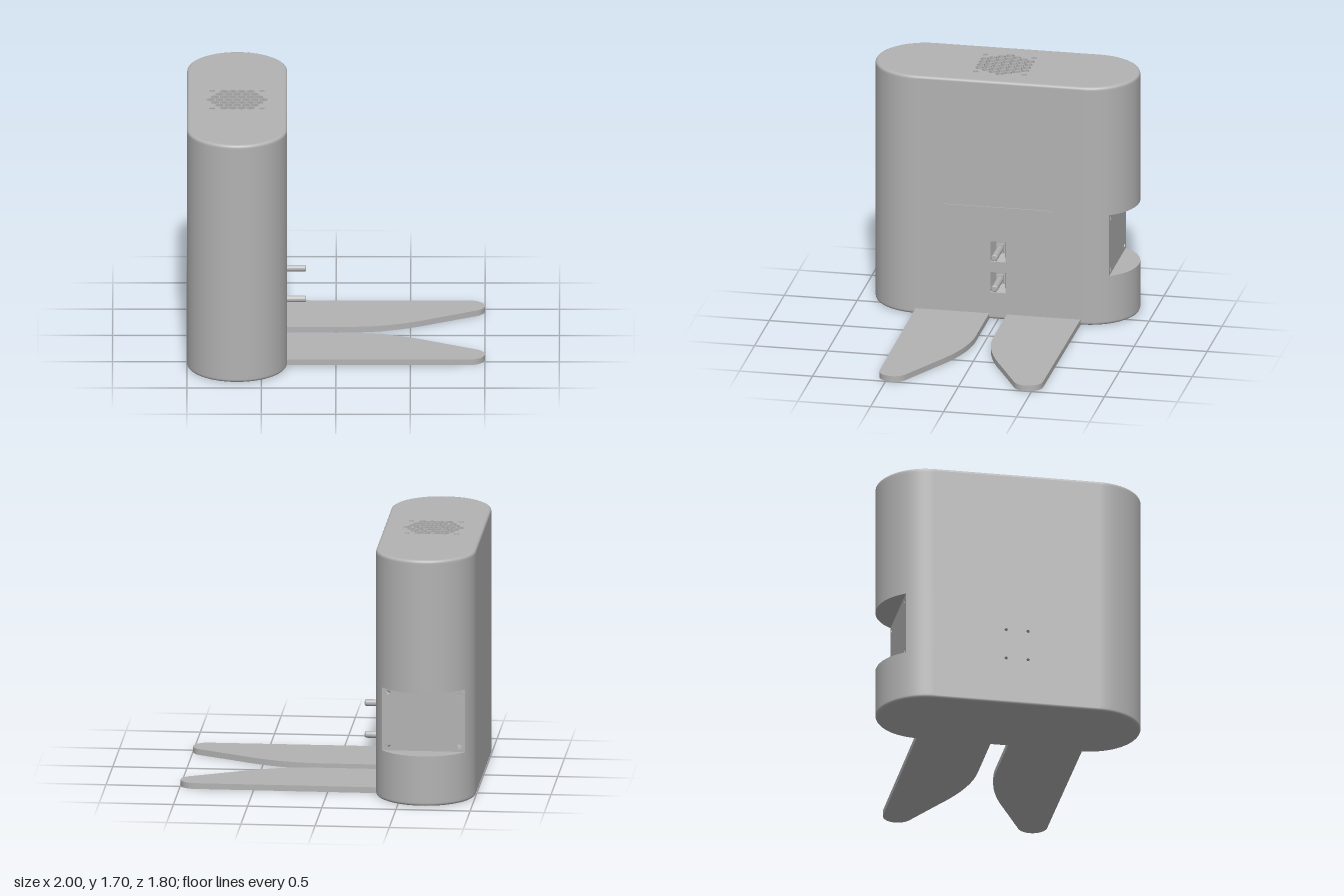
import * as THREE from 'three';
import { toCreasedNormals } from 'three/addons/utils/BufferGeometryUtils.js';

const R = 0.336, HALF = 0.564, H = 1.7, F = 0.02; // end radius, half straight length, height, edge fillet
const SKIN = 0.008;
const CUT0 = 0.345, CUT1 = 0.78, CUTZ = -0.75; // rear notch

export function createModel() {
  const grey = new THREE.MeshStandardMaterial({ color: 0xb2b2b2, side: THREE.DoubleSide });
  grey.name = 'plain grey';
  const model = new THREE.Group();
  const body = new THREE.Group();
  body.name = 'body';
  body.position.x = -1 + R;
  model.add(body);

  const add = (parent, name, geo, x = 0, y = 0, z = 0) => {
    const m = new THREE.Mesh(geo, grey);
    m.name = name;
    m.position.set(x, y, z);
    parent.add(m);
    return m;
  };
  const polyHole = (shape, cx, cy, r, sides, turn = 0) => {
    const pts = [];
    for (let i = 0; i < sides; i++) {
      const a = turn + (i / sides) * Math.PI * 2;
      pts.push(new THREE.Vector2(cx + r * Math.cos(a), cy + r * Math.sin(a)));
    }
    shape.holes.push(new THREE.Path(pts));
  };
  const rectPoints = (x0, y0, x1, y1) =>
    [[x0, y0], [x1, y0], [x1, y1], [x0, y1]].map(p => new THREE.Vector2(...p));
  const slab = (shape, depth) =>
    new THREE.ExtrudeGeometry(shape, { depth, bevelEnabled: false, curveSegments: 24 });
  const stadium = r => {
    const s = new THREE.Shape();
    s.absarc(0, HALF, r, 0, Math.PI, false);
    s.absarc(0, -HALF, r, Math.PI, Math.PI * 2, false);
    s.closePath();
    return s;
  };

  // Rounded ends: filleted profiles swept half a turn, the rear one split by the notch
  const bottomEdge = [], topEdge = [];
  for (let i = 0; i <= 5; i++) {
    const a = (i / 5) * Math.PI / 2;
    bottomEdge.push(new THREE.Vector2(R - F + F * Math.sin(a), F - F * Math.cos(a)));
    topEdge.push(new THREE.Vector2(R - F + F * Math.cos(a), H - F + F * Math.sin(a)));
  }
  const wall = (...ys) => ys.map(y => new THREE.Vector2(R, y));
  const end = (name, pts, start, sweep, z) =>
    add(body, name, new THREE.LatheGeometry(pts, 40, start, sweep), 0, 0, z);
  const PI = Math.PI;
  end('frontEnd', [...bottomEdge, ...wall(F + 0.01, H - F - 0.01), ...topEdge], -PI / 2, PI, HALF);
  end('rearEndLower', [...bottomEdge, ...wall(F + 0.01, CUT0)], PI / 2, PI, -HALF);
  end('rearEndUpper', [...wall(CUT1, H - F - 0.01), ...topEdge], PI / 2, PI, -HALF);
  const cutAngle = Math.acos((CUTZ + HALF) / R);
  end('rearEndSide', wall(CUT0, CUT1), PI / 2, cutAngle - PI / 2, -HALF);
  end('rearEndSide', wall(CUT0, CUT1), 2 * PI - cutAngle, cutAngle - PI / 2, -HALF);

  // Notch ledges and the screwed rear panel
  const ledge = new THREE.Shape();
  ledge.absarc(0, 0, R, -PI / 2 - (PI - cutAngle), -PI / 2 + (PI - cutAngle), false);
  ledge.closePath();
  add(body, 'notchCeiling', new THREE.ShapeGeometry(ledge, 32).rotateX(PI / 2), 0, CUT1, -HALF);
  add(body, 'notchFloor', new THREE.ShapeGeometry(ledge, 32).rotateX(PI / 2), 0, CUT0, -HALF);
  const halfPanel = R * Math.sin(cutAngle);
  const panel = new THREE.Shape(rectPoints(-halfPanel, CUT0, halfPanel, CUT1));
  for (const x of [-0.24, 0.24])
    for (const y of [CUT0 + 0.035, CUT1 - 0.035]) polyHole(panel, x, y, 0.016, 16);
  add(body, 'rearPanel', slab(panel, 0.02), 0, 0, CUTZ);

  // Filleted long edges
  const edge = (sx, y, start) => add(body, 'longEdge',
    new THREE.CylinderGeometry(F, F, HALF * 2, 6, 1, true, start, PI / 2).rotateX(PI / 2), sx * (R - F), y, 0);
  edge(1, F, 0);
  edge(1, H - F, PI / 2);
  edge(-1, H - F, PI);
  edge(-1, F, 1.5 * PI);

  // Flat side walls: four screw holes on one, pin sockets and a shallow recess on the other
  const sideShape = () => new THREE.Shape(rectPoints(-HALF, F, HALF, H - F));
  const plainSide = sideShape();
  for (const z of [-0.075, 0.075])
    for (const y of [0.335, 0.545]) {
      polyHole(plainSide, z, y, 0.011, 12);
      add(body, 'screwHole', new THREE.CylinderGeometry(0.011, 0.011, 0.04, 12, 1, true).rotateZ(PI / 2), -R + 0.02, y, z);
    }
  add(body, 'plainSide', slab(plainSide, SKIN).rotateY(PI / 2), -R);

  const sockets = [0.263, 0.483], sw = 0.052, sh = 0.0725;
  const pinSide = sideShape();
  for (const y of sockets) pinSide.holes.push(new THREE.Path(rectPoints(-sw, y - sh, sw, y + sh)));
  pinSide.holes.push(new THREE.Path(rectPoints(-0.37, 0.8, 0.37, 1.31)));
  add(body, 'pinSide', slab(pinSide, SKIN).rotateY(PI / 2), R - SKIN);
  add(body, 'recessPanel', new THREE.BoxGeometry(0.01, 0.53, 0.76), R - SKIN - 0.005, 1.055, 0);

  // Tapered sockets with projecting pins
  const depth = 0.08, inner = R - SKIN - depth, pinLength = 0.464 - inner, pr = 0.023;
  for (const y of sockets) {
    const funnel = new THREE.CylinderGeometry(Math.SQRT2, Math.SQRT2 * 0.55, depth, 4, 1, true)
      .rotateY(PI / 4).rotateZ(-PI / 2).scale(1, sh, sw);
    add(body, 'socket', toCreasedNormals(funnel, 0.3), inner + depth / 2, y, 0);
    add(body, 'socketBack', new THREE.BoxGeometry(0.01, sh * 1.2, sw * 1.2), inner - 0.004, y, 0);
    add(body, 'pinMount', new THREE.BoxGeometry(0.03, 0.06, 0.05), inner + 0.012, y, 0);
    const profile = [[pr, 0], [pr, pinLength - 0.008], [pr - 0.006, pinLength], [0, pinLength]]
      .map(p => new THREE.Vector2(...p));
    const pin = new THREE.LatheGeometry(profile, 24).rotateZ(-PI / 2);
    add(body, 'pin', toCreasedNormals(pin, 0.5), inner, y, 0);
  }

  // Lid with a honeycomb vent and corner screw holes
  const lid = stadium(R - F), pitch = 0.059, ventZ = 0.022;
  for (let row = -3; row <= 3; row++) {
    const count = 7 - Math.abs(row);
    for (let i = 0; i < count; i++)
      polyHole(lid, (i - (count - 1) / 2) * pitch, ventZ + row * pitch * 0.88, 0.031, 6, PI / 6);
  }
  for (const x of [-0.167, 0.167])
    for (const z of [-0.167, 0.167]) polyHole(lid, x, ventZ + z, 0.018, 16);
  add(body, 'lid', slab(lid, 0.03).rotateX(PI / 2), 0, H, 0);
  add(body, 'base', new THREE.ShapeGeometry(stadium(R - F), 24).rotateX(PI / 2));

  // Two mirrored flat feet
  for (const s of [1, -1]) {
    const foot = new THREE.Shape();
    foot.moveTo(-0.35, s * 0.06);
    foot.lineTo(0.12, s * 0.06);
    foot.quadraticCurveTo(0.37, s * 0.06, 0.65, s * 0.217);
    foot.absarc(0.9, s * 0.46, 0.1, -s * 1.06, s * PI / 2, s < 0);
    foot.lineTo(-0.35, s * 0.565);
    foot.closePath();
    const geo = slab(foot, 0.04).rotateX(PI / 2);
    add(model, s > 0 ? 'frontFoot' : 'rearFoot', toCreasedNormals(geo, 0.5), 0, 0.04, 0);
  }
  return model;
}
